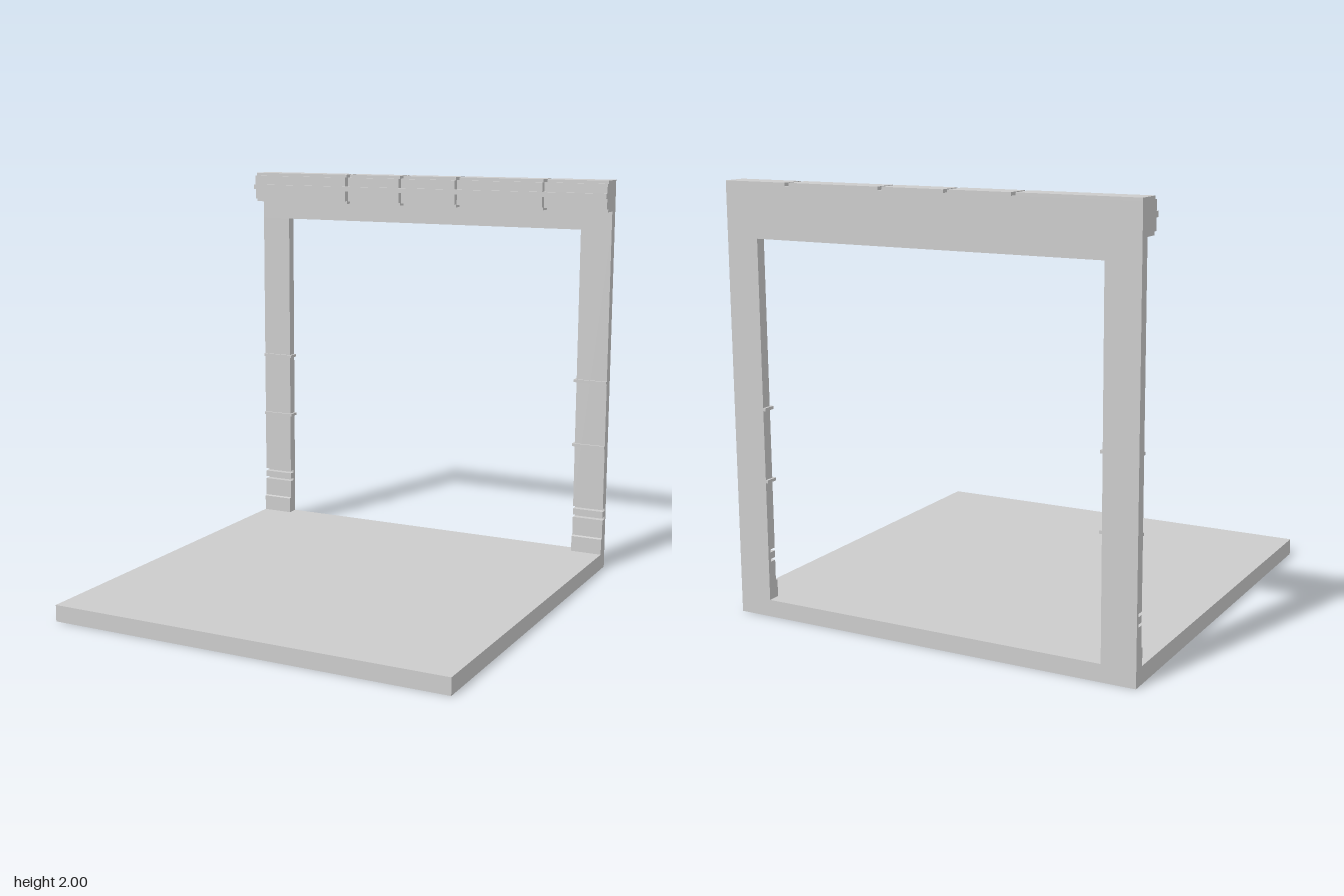
import * as THREE from 'three';

const material = new THREE.MeshStandardMaterial({ color: 0xcccccc, flatShading: true });

// Box given by its minimum and maximum corners
function box(name, [x0, y0, z0], [x1, y1, z1]) {
  const geometry = new THREE.BoxGeometry(x1 - x0, y1 - y0, z1 - z0);
  geometry.translate((x0 + x1) / 2, (y0 + y1) / 2, (z0 + z1) / 2);
  const mesh = new THREE.Mesh(geometry, material);
  mesh.name = name;
  return mesh;
}

// Side profile of [z, y] points, swept along x
function sweep(name, profile, x0, x1) {
  const shape = new THREE.Shape(profile.map(([z, y]) => new THREE.Vector2(-z, y)));
  const geometry = new THREE.ExtrudeGeometry(shape, { depth: x1 - x0, bevelEnabled: false });
  geometry.rotateY(Math.PI / 2);
  geometry.translate(x0, 0, 0);
  const mesh = new THREE.Mesh(geometry, material);
  mesh.name = name;
  return mesh;
}

export function createModel() {
  const model = new THREE.Group();
  model.name = 'shopFrontFrame';
  const back = -1, face = -0.952, inner = 0.84;

  model.add(box('floorSlab', [-1, 0, -1], [1, 0.08, 1]));

  // Posts with a projecting plinth and two deep grooves
  const groove = -0.985, plinth = -0.94;
  const postProfile = [
    [back, 0.08], [plinth, 0.08], [plinth, 0.16], [face, 0.165],
    [face, 0.26], [groove, 0.26], [groove, 0.273], [face, 0.273],
    [face, 0.305], [groove, 0.305], [groove, 0.319], [face, 0.319],
    [face, 1.75], [back, 1.75],
  ];
  for (const side of [-1, 1]) {
    const label = side > 0 ? 'left' : 'right';
    const span = (a, b) => (side > 0 ? [a, b] : [-b, -a]);
    model.add(sweep(label + 'Post', postProfile, ...span(inner, 1)));

    // Thin bands wrapping the front and the inner face
    for (const y of [0.645, 0.98]) {
      const [x0, x1] = span(0.828, 1);
      model.add(box(label + 'PostBand', [x0, y - 0.007, back], [x1, y + 0.007, plinth]));
    }
  }

  // Lintel and the recessed core of the cornice
  model.add(sweep('lintel', [
    [back, 1.75], [face, 1.75], [face, 1.857], [-0.895, 1.857],
    [-0.895, 1.985], [back, 1.985],
  ], -1, 1));

  // Continuous moulding along the middle of the cornice
  model.add(box('corniceMoulding', [-1, 1.913, -0.9], [1, 1.938, -0.847]));

  // Cornice stones, separated by narrow joints
  const upper = [
    [back, 1.985], [-0.895, 1.985], [-0.895, 1.938], [-0.865, 1.938],
    [-0.865, 1.985], [-0.88, 1.985], [-0.88, 2], [back, 2],
  ];
  const lower = [
    [face, 1.845], [-0.885, 1.845], [-0.885, 1.86], [-0.865, 1.86],
    [-0.865, 1.913], [-0.895, 1.913], [-0.895, 1.857], [face, 1.857],
  ];
  const joints = [-0.437, -0.122, 0.196, 0.672], half = 0.01;
  const starts = [-1, ...joints.map((x) => x + half)];
  const ends = [...joints.map((x) => x - half), 1];
  starts.forEach((x, i) => {
    model.add(sweep('upperCorniceStone', upper, x, ends[i]));
    model.add(sweep('lowerCorniceStone', lower, x, ends[i]));
  });
  return model;
}
